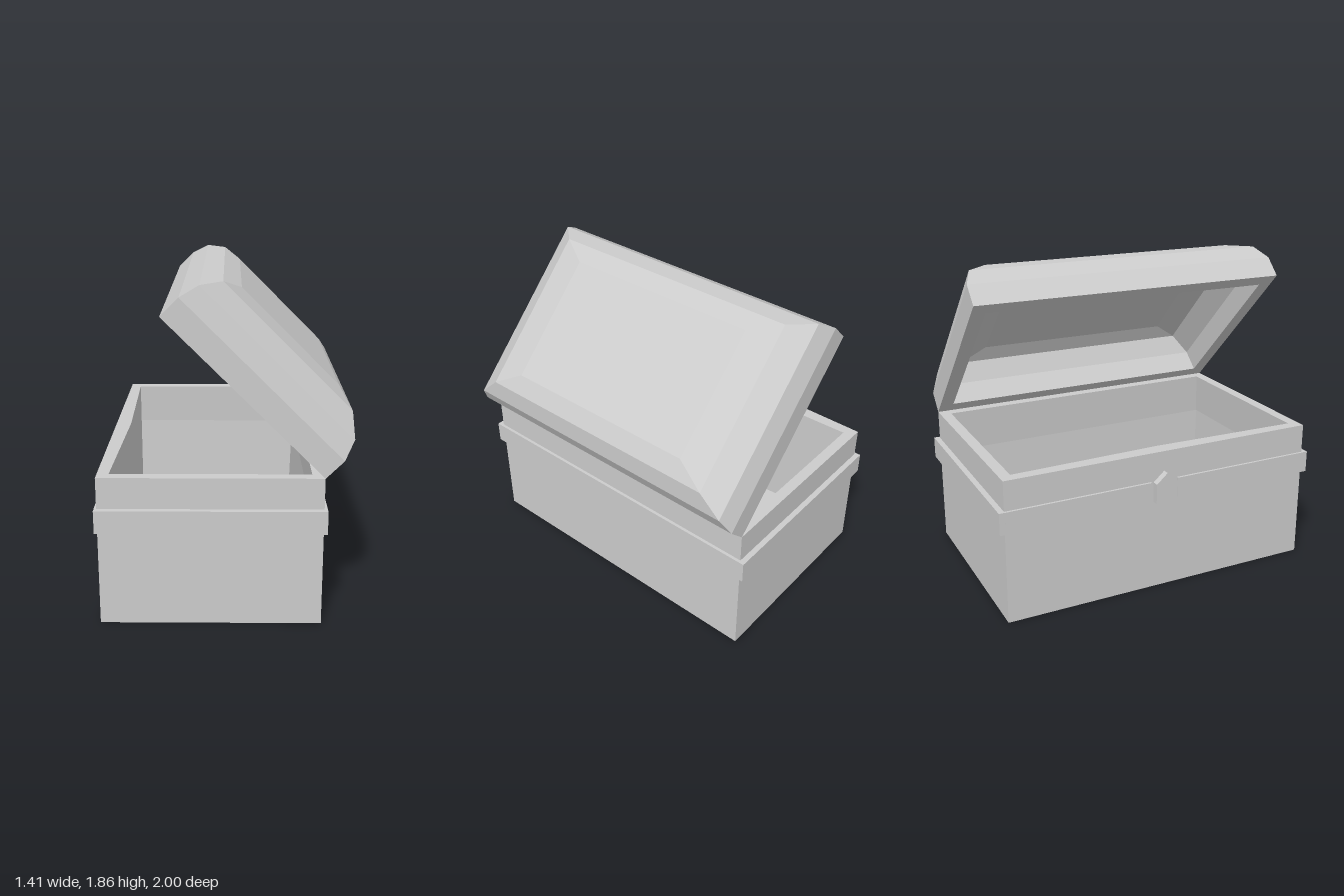
import * as THREE from 'three';

const material = new THREE.MeshStandardMaterial({ color: 0xcccccc, flatShading: true });

function addMesh(parent, name, geometry, x = 0, y = 0, z = 0) {
  const mesh = new THREE.Mesh(geometry, material);
  mesh.name = name;
  mesh.position.set(x, y, z);
  parent.add(mesh);
  return mesh;
}

// Skins a stack of rectangles [x0, x1, halfDepth, y], capped at both ends
function loftRectangles(rings) {
  const corners = rings.map(([x0, x1, d, y]) => [[x0, y, -d], [x0, y, d], [x1, y, d], [x1, y, -d]]);
  const positions = [];
  const quad = (a, b, c, d) => positions.push(...a, ...b, ...c, ...a, ...c, ...d);
  for (let r = 0; r < corners.length - 1; r++) {
    for (let i = 0; i < 4; i++) {
      const j = (i + 1) % 4;
      quad(corners[r][i], corners[r][j], corners[r + 1][j], corners[r + 1][i]);
    }
  }
  quad(...[...corners[0]].reverse());
  quad(...corners[corners.length - 1]);
  const geometry = new THREE.BufferGeometry();
  geometry.setAttribute('position', new THREE.Float32BufferAttribute(positions, 3));
  geometry.computeVertexNormals();
  return geometry;
}

// Straight prism from a 2D outline
function prism(points, depth) {
  const shape = new THREE.Shape(points.map(([x, y]) => new THREE.Vector2(x, y)));
  return new THREE.ExtrudeGeometry(shape, { depth, bevelEnabled: false });
}

export function createModel() {
  const chest = new THREE.Group();
  chest.name = 'chest';
  const X0 = -0.665, X1 = 0.55, D = 0.967, H = 0.85, FLOOR = 0.11;

  // Hollow body: outside, rim, slightly undercut inner walls, floor
  const bodyRings = [[0, 0], [0, H], [0.065, H], [0.05, 0.59], [0.065, FLOOR]];
  addMesh(chest, 'body', loftRectangles(
    bodyRings.map(([inset, y]) => [X0 + inset, X1 - inset, D - inset, y])));

  // Shallow swelling of the inner wall behind the latch
  const swelling = addMesh(chest, 'innerWallSwelling',
    prism([[-0.63, -0.9], [-0.6, -0.9], [-0.575, 0], [-0.6, 0.9], [-0.63, 0.9]], H - FLOOR), 0, H, 0);
  swelling.rotation.x = Math.PI / 2;

  // Raised band, left open behind the latch
  const band = new THREE.Group();
  band.name = 'band';
  chest.add(band);
  const bandY = 0.61, bandH = 0.13;
  for (const s of [-1, 1]) {
    addMesh(band, 'bandEnd', new THREE.BoxGeometry(1.246, bandH, 0.033), -0.055, bandY, s * 0.9835);
    addMesh(band, 'bandLatchSide', new THREE.BoxGeometry(0.015, bandH, D - 0.085), -0.6715, bandY, s * (D + 0.085) / 2);
  }
  addMesh(band, 'bandHingeSide', new THREE.BoxGeometry(0.02, bandH, 2 * D), 0.558, bandY, 0);

  // Tall hexagonal latch plate
  const latch = addMesh(chest, 'latch', prism(
    [[0, -0.12], [0.068, -0.06], [0.068, 0.06], [0, 0.12], [-0.068, 0.06], [-0.068, -0.06]], 0.04), X0, 0.61, 0);
  latch.rotation.y = -Math.PI / 2;

  // Hollow faceted lid, swung open on its hinge edge; rows are [inset x, inset z, height]
  const W = X1 - X0;
  const lidRings = [
    // inside, from ceiling to rim
    [0.25, 0.34, 0.285], [0.15, 0.19, 0.25], [0.1, 0.1, 0.13], [0.085, 0.085, 0],
    // outside, from rim to crown
    [0, 0, 0], [0, 0, 0.138], [0.034, 0.047, 0.25], [0.118, 0.177, 0.334], [0.228, 0.357, 0.362],
  ];
  const lid = addMesh(chest, 'lid', loftRectangles(
    lidRings.map(([ix, iz, y]) => [-W + ix, -ix, D - iz, y])), X1, H, 0);
  lid.rotation.z = -Math.PI / 4;

  return chest;
}
